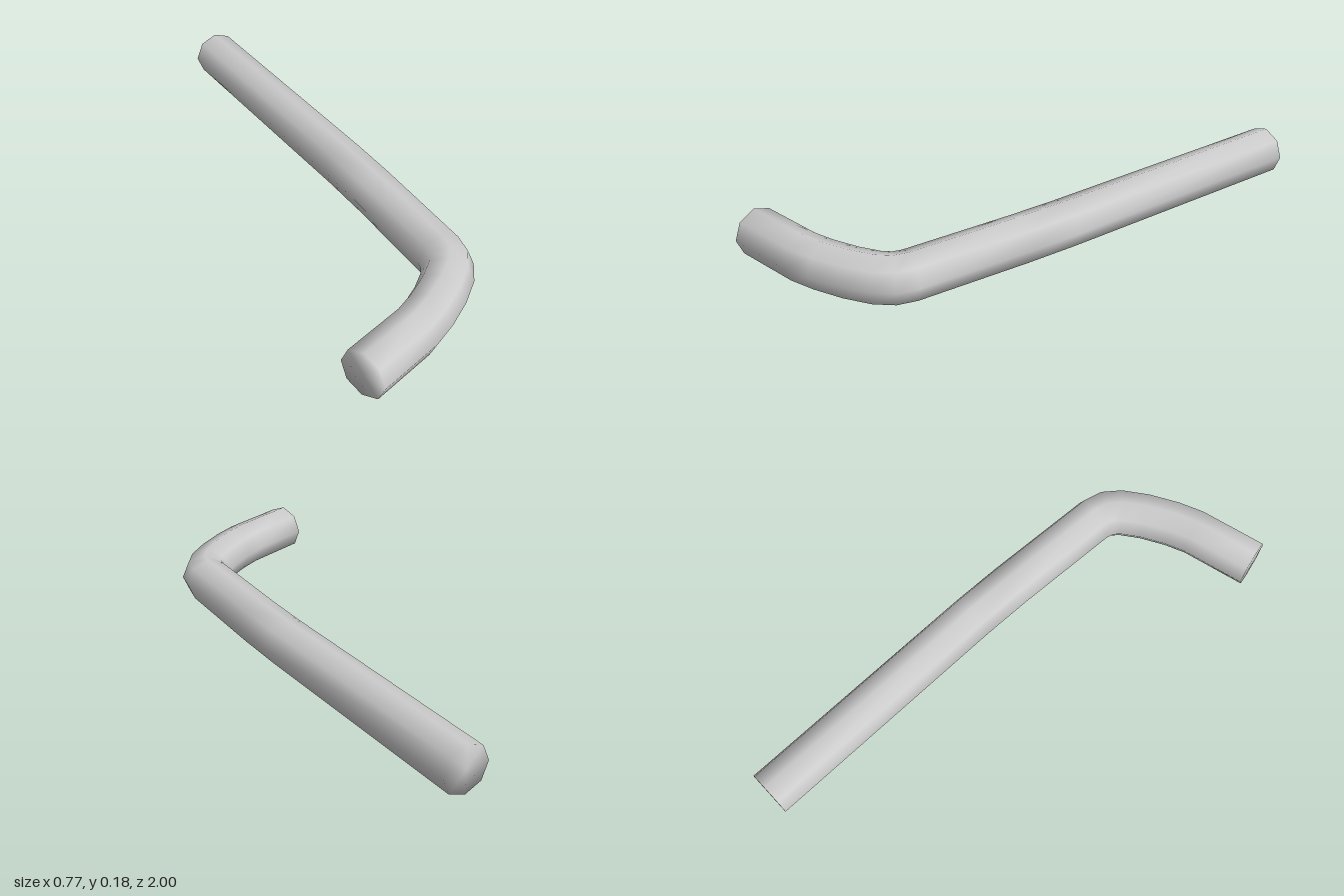
import * as THREE from 'three';

const RADIUS = 0.091;
const SIDES = 8;

// Centre line as [x, z], from the short bent end to the long straight end
const PATH = [
  [-0.37, 0.908], [-0.12, 0.855], [-0.034, 0.822], [0.064, 0.772], [0.143, 0.718],
  [0.182, 0.673], [0.198, 0.62], [0.237, 0.196], [0.25, 0], [0.291, -0.996],
];

// Capped octagonal tube with mitred rings and shared, smooth normals
function bentBar(path, radius, sides) {
  const points = path.map(([x, z]) => new THREE.Vector3(x, radius, z));
  const last = points.length - 1;
  const up = new THREE.Vector3(0, 1, 0);
  const positions = [];
  const indices = [];
  const direction = (i) => points[i + 1].clone().sub(points[i]).normalize();

  points.forEach((p, i) => {
    const before = direction(Math.max(i - 1, 0));
    const after = direction(Math.min(i, last - 1));
    const tangent = before.clone().add(after).normalize();
    const side = up.clone().cross(tangent);
    const mitre = radius / tangent.dot(after);
    for (let j = 0; j < sides; j++) {
      const a = (j / sides) * Math.PI * 2;
      const v = p.clone().addScaledVector(side, Math.cos(a) * mitre).addScaledVector(up, Math.sin(a) * radius);
      positions.push(v.x, v.y, v.z);
    }
  });
  // Cap centres
  const startCentre = positions.length / 3;
  positions.push(...points[0].toArray(), ...points[last].toArray());

  for (let j = 0; j < sides; j++) {
    const k = (j + 1) % sides;
    for (let i = 0; i < last; i++) {
      const a = i * sides;
      const b = a + sides;
      indices.push(a + j, a + k, b + j, a + k, b + k, b + j);
    }
    indices.push(startCentre, k, j);
    indices.push(startCentre + 1, last * sides + j, last * sides + k);
  }

  const geometry = new THREE.BufferGeometry();
  geometry.setAttribute('position', new THREE.Float32BufferAttribute(positions, 3));
  geometry.setIndex(indices);
  geometry.computeVertexNormals();
  return geometry;
}

export function createModel() {
  const group = new THREE.Group();
  group.name = 'bentBarModel';
  const material = new THREE.MeshStandardMaterial({ color: 0xcccccc });
  const bar = new THREE.Mesh(bentBar(PATH, RADIUS, SIDES), material);
  bar.name = 'bentBar';
  group.add(bar);
  return group;
}
